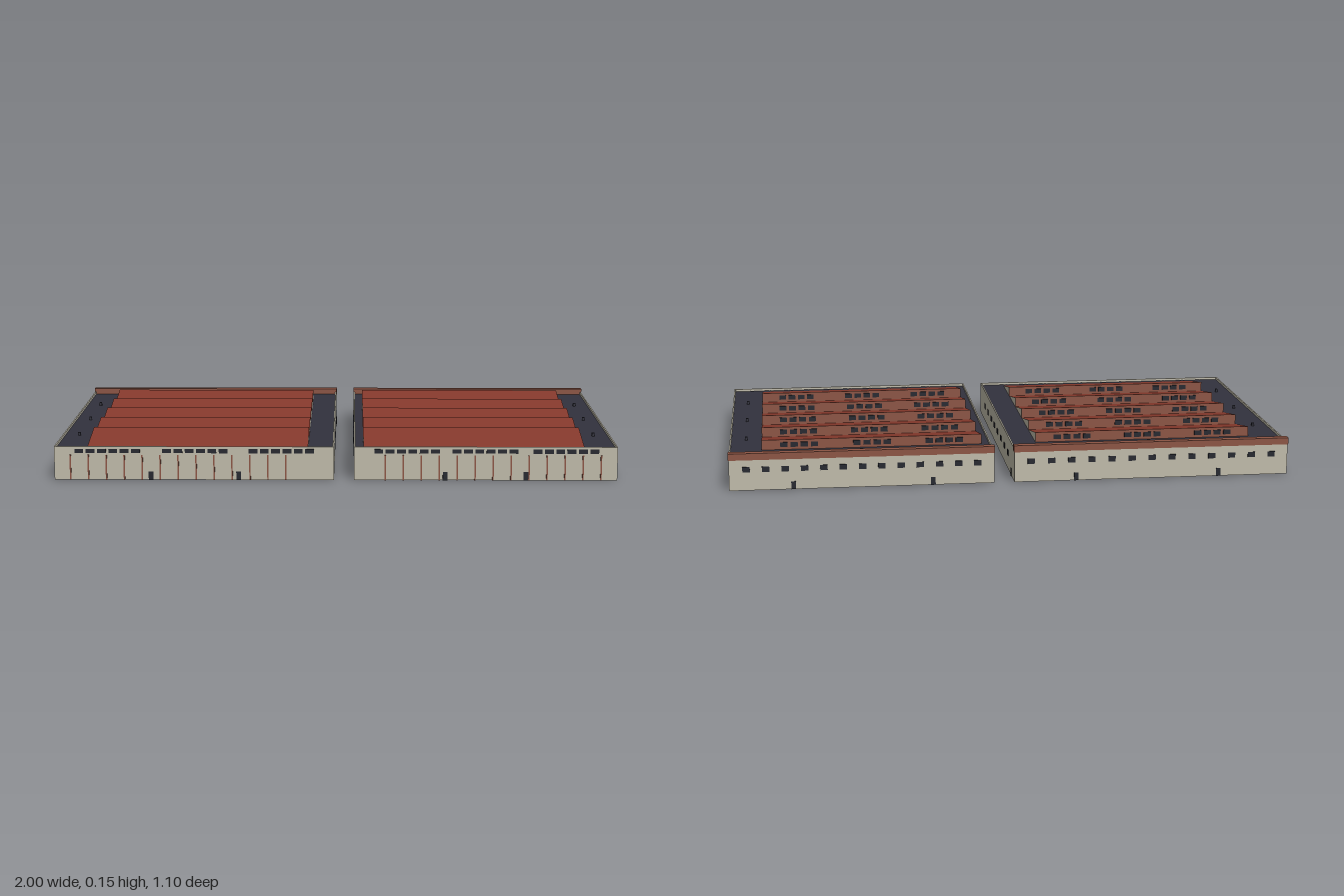
import * as THREE from 'three';

const mat = (name, color, side = THREE.FrontSide) => {
  const m = new THREE.MeshStandardMaterial({ color, side });
  m.name = name;
  return m;
};

export function createModel() {
  const D = THREE.DoubleSide;
  const wallMat = mat('stone wall', 0xc0bbaa, D);
  const slopeMat = mat('red roof sheet', 0x86392c, D);
  const flatMat = mat('dark flat roof', 0x32323d, D);
  const brickMat = mat('brick', 0x8c5443, D);
  const glassMat = mat('dark glass', 0x23252d);

  const H = 0.12, ROOF = 0.111, PEAK = 0.147;
  const Z0 = -0.547, Z1 = 0.546;          // back and front wall faces
  const TZ0 = -0.42, TZ1 = 0.522;         // extent of the sawtooth roofs
  const TEETH = 5, PITCH = (TZ1 - TZ0) / TEETH;

  const add = (parent, name, geo, material) => {
    const m = new THREE.Mesh(geo, material);
    m.name = name;
    parent.add(m);
    return m;
  };
  const box = (parent, name, material, w, h, d, x, y, z) =>
    add(parent, name, new THREE.BoxGeometry(w, h, d), material).position.set(x, y, z);

  // Flat polygon (fan) from 3 or 4 corners
  const face = (parent, name, material, ...pts) => {
    const g = new THREE.BufferGeometry();
    const tri = [];
    for (let i = 1; i < pts.length - 1; i++) tri.push(...pts[0], ...pts[i], ...pts[i + 1]);
    g.setAttribute('position', new THREE.Float32BufferAttribute(tri, 3));
    g.computeVertexNormals();
    return add(parent, name, g, material);
  };

  // Horizontal rectangle with a rectangular hole, extruded upwards
  const frame = (o, i, height) => {
    const rect = (s, [x0, x1, z0, z1]) => {
      s.moveTo(x0, -z1); s.lineTo(x1, -z1); s.lineTo(x1, -z0); s.lineTo(x0, -z0); s.closePath();
      return s;
    };
    const shape = rect(new THREE.Shape(), o);
    shape.holes.push(rect(new THREE.Path(), i));
    return new THREE.ExtrudeGeometry(shape, { depth: height, bevelEnabled: false }).rotateX(-Math.PI / 2);
  };

  function hall(name, s) {
    const g = new THREE.Group();
    g.name = name;
    const { x0, x1, t0, t1 } = s, cx = (x0 + x1) / 2, T = 0.005;

    // Hollow shell, open below, and flat roof around the sawteeth
    add(g, 'walls', frame([x0, x1, Z0, Z1], [x0 + T, x1 - T, Z0 + T, Z1 - T], H), wallMat);
    add(g, 'flatRoof', frame([x0 + T, x1 - T, Z0 + T, Z1 - T], [t0, t1, TZ0, TZ1], 0.003), flatMat)
      .position.y = ROOF - 0.003;
    box(g, 'rearParapet', brickMat, x1 - x0 + 0.003, 0.024, 0.028, cx, 0.121, Z0 + 0.0115);

    // Sawtooth roofs rising towards the back
    for (let i = 0; i < TEETH; i++) {
      const tooth = new THREE.Group();
      tooth.name = 'sawtoothRoof';
      const zf = TZ1 - i * PITCH, zb = zf - PITCH;
      face(tooth, 'slope', slopeMat, [t0, ROOF, zf], [t1, ROOF, zf], [t1, PEAK, zb], [t0, PEAK, zb]);
      face(tooth, 'riser', brickMat, [t1, ROOF, zb], [t0, ROOF, zb], [t0, PEAK, zb], [t1, PEAK, zb]);
      face(tooth, 'leftGable', wallMat, [t1, ROOF, zf], [t1, ROOF, zb], [t1, PEAK, zb]);
      face(tooth, 'rightGable', wallMat, [t0, ROOF, zb], [t0, ROOF, zf], [t0, PEAK, zb]);
      // Clerestory windows in three groups
      for (const u of [0.17, 0.5, 0.83]) for (let k = -1.5; k < 2; k++) {
        box(tooth, 'roofWindow', glassMat, 0.026, 0.017, 0.004,
          t0 + u * (t1 - t0) + k * 0.036, 0.129, zb - 0.001);
      }
      g.add(tooth);
    }

    // Front: window groups, pilaster strips and doors
    for (const start of s.windows) for (let k = 0; k < 6; k++) {
      box(g, 'frontWindow', glassMat, 0.031, 0.015, 0.009, start + 0.016 + k * 0.04, 0.104, Z1 - 0.0025);
    }
    for (let k = 0; k < 13; k++) {
      box(g, 'pilasterStrip', brickMat, 0.005, 0.09, 0.004, s.strips + k * 0.0635, 0.045, Z1 + 0.001);
    }
    for (const x of s.doors) box(g, 'frontDoor', glassMat, 0.017, 0.03, 0.01, x, 0.015, Z1 - 0.002);

    // Sides: eight windows and a door each
    for (const x of [x0 + T / 2, x1 - T / 2]) {
      for (let k = 0; k < 8; k++) {
        box(g, 'sideWindow', glassMat, 0.01, 0.019, 0.027, x, 0.062, 0.373 - k * 0.106);
      }
      box(g, 'sideDoor', glassMat, 0.01, 0.028, 0.015, x, 0.014, -0.463);
    }

    // Back: a row of windows and two doors
    const n = 13, step = (x1 - x0 - 0.12) / (n - 1);
    for (let k = 0; k < n; k++) {
      box(g, 'backWindow', glassMat, 0.026, 0.019, 0.01, x0 + 0.06 + k * step, 0.075, Z0 + T / 2);
    }
    for (const x of s.backDoors) box(g, 'backDoor', glassMat, 0.016, 0.028, 0.01, x, 0.014, Z0 + T / 2);

    // Small roof vents
    for (const [x, z] of [[s.vent, -0.27], [s.vent, 0.02], [s.vent, 0.31], [cx, -0.48]]) {
      box(g, 'roofVent', flatMat, 0.009, 0.012, 0.009, x, ROOF + 0.006, z);
    }
    return g;
  }

  const model = new THREE.Group();
  model.name = 'factoryHalls';
  model.add(
    hall('rightHall', {
      x0: -0.997, x1: -0.008, t0: -0.883, t1: -0.1, vent: -0.94,
      windows: [-0.925, -0.615, -0.31], strips: -0.94,
      doors: [-0.655, -0.345], backDoors: [-0.23, -0.745],
    }),
    hall('leftHall', {
      x0: 0.063, x1: 0.993, t0: 0.096, t1: 0.879, vent: 0.935,
      windows: [0.134, 0.41, 0.695], strips: 0.173,
      doors: [0.385, 0.67], backDoors: [0.28, 0.77],
    }),
  );
  return model;
}
